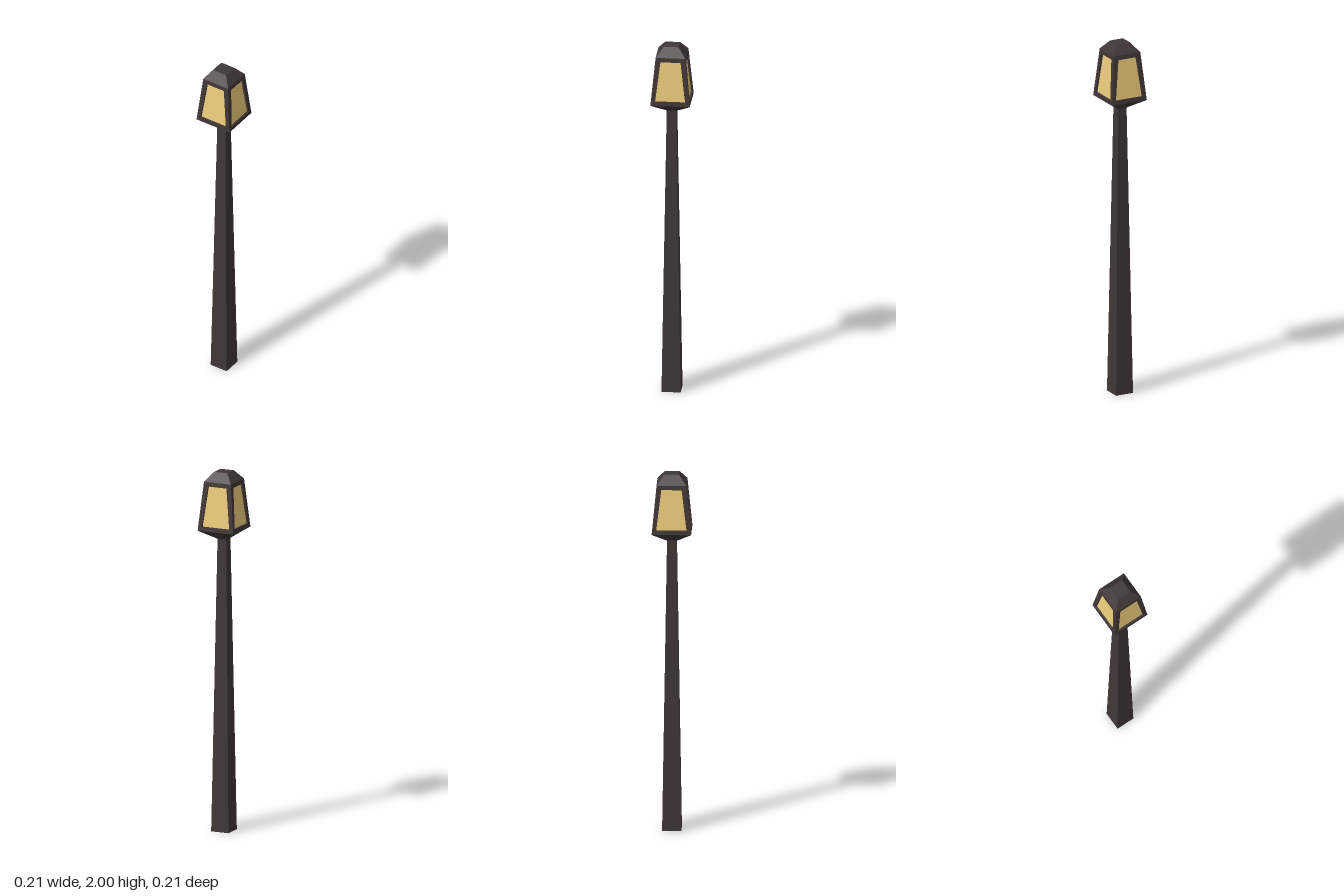
import * as THREE from 'three';

const iron = new THREE.MeshStandardMaterial({ color: 0x3f3735, flatShading: true });
const glass = new THREE.MeshStandardMaterial({ color: 0xeccb7a, flatShading: true });

function addMesh(parent, name, geometry, material) {
  const mesh = new THREE.Mesh(geometry, material);
  mesh.name = name;
  parent.add(mesh);
}

// Square frustum between two heights, given half widths
function frustum(y0, half0, y1, half1) {
  const g = new THREE.CylinderGeometry(half1 * Math.SQRT2, half0 * Math.SQRT2, y1 - y0, 4);
  return g.rotateY(Math.PI / 4).translate(0, (y0 + y1) / 2, 0);
}

// Flat quads from corners listed counter-clockwise
function quads(list) {
  const pos = list.flatMap(([a, b, c, d]) => [a, b, c, a, c, d].flat());
  const g = new THREE.BufferGeometry();
  g.setAttribute('position', new THREE.Float32BufferAttribute(pos, 3));
  g.computeVertexNormals();
  return g;
}

const BOTTOM = 1.68, TOP = 1.95, WIDE = 0.107, NARROW = 0.081;

// Corners of a trapezoid lying in the sloping front wall of the lantern
function wallRing(y0, half0, y1, half1, recess) {
  const depth = y => WIDE + (NARROW - WIDE) * (y - BOTTOM) / (TOP - BOTTOM) - recess;
  return [
    [-half0, y0, depth(y0)], [half0, y0, depth(y0)],
    [half1, y1, depth(y1)], [-half1, y1, depth(y1)],
  ];
}

export function createModel() {
  const model = new THREE.Group();
  model.name = 'lampPost';

  addMesh(model, 'post', frustum(0, 0.052, 1.64, 0.026), iron);

  const lantern = new THREE.Group();
  lantern.name = 'lantern';
  model.add(lantern);
  addMesh(lantern, 'lanternCup', frustum(1.627, 0.028, BOTTOM, WIDE), iron);
  addMesh(lantern, 'lanternRoof', frustum(TOP, NARROW, 2, 0.04), iron);

  // Four walls: frame face, reveal of the opening, recessed pane
  const outer = wallRing(BOTTOM, WIDE, TOP, NARROW, 0);
  const opening = wallRing(1.703, 0.082, 1.926, 0.055, 0);
  const recessed = wallRing(1.703, 0.082, 1.926, 0.055, 0.01);
  const strips = [];
  for (const [a, b] of [[outer, opening], [opening, recessed]]) {
    for (let i = 0; i < 4; i++) {
      const j = (i + 1) % 4;
      strips.push([a[i], a[j], b[j], b[i]]);
    }
  }
  for (let side = 0; side < 4; side++) {
    const wall = new THREE.Group();
    wall.name = 'lanternWall';
    wall.rotation.y = side * Math.PI / 2;
    addMesh(wall, 'windowFrame', quads(strips), iron);
    addMesh(wall, 'windowPane', quads([recessed]), glass);
    lantern.add(wall);
  }
  return model;
}
